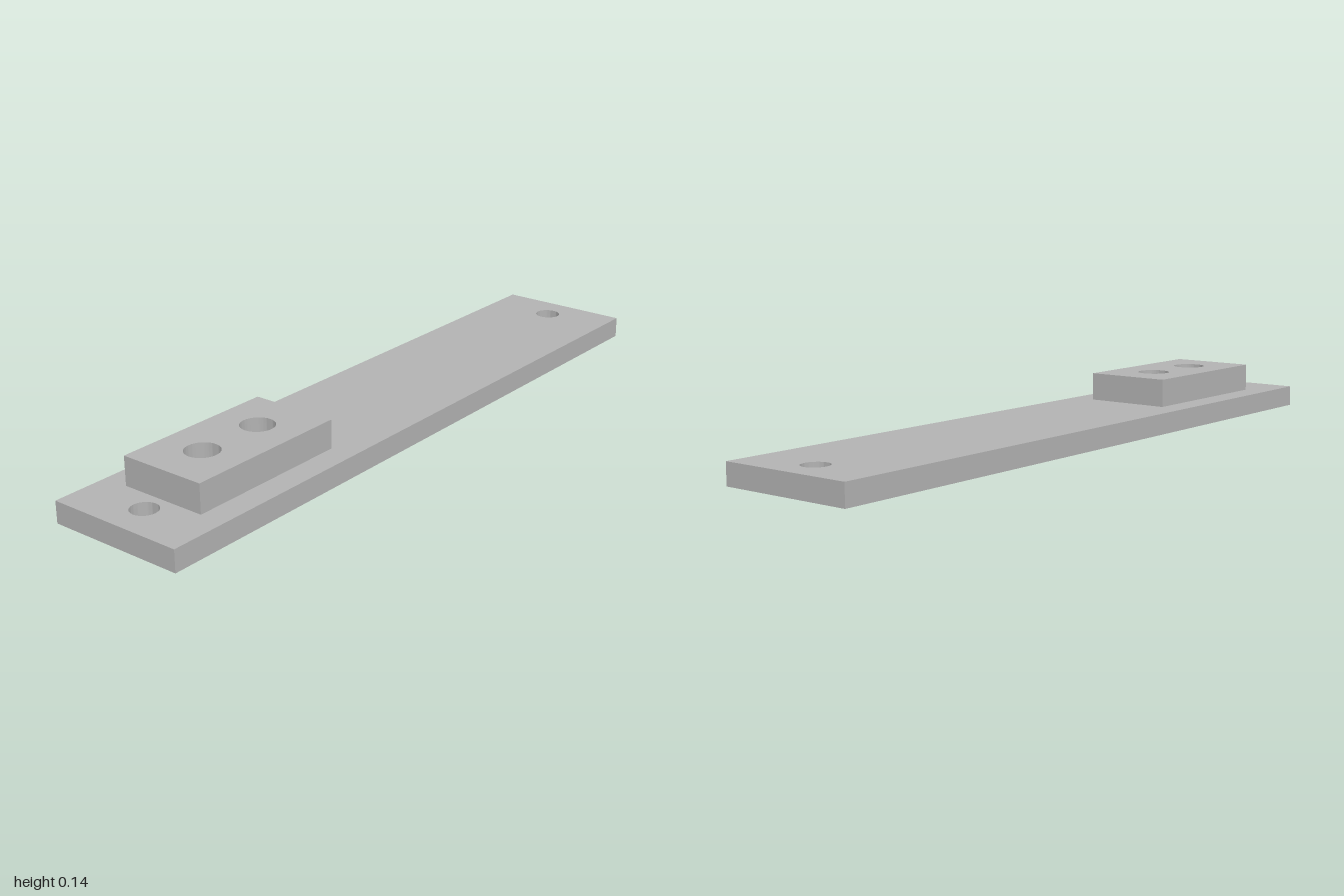
import * as THREE from 'three';
import { toCreasedNormals } from 'three/addons/utils/BufferGeometryUtils.js';

const END_HOLES = [-0.9, 0.9];
const BORES = [-0.7, -0.5];
const PLATE_TOP = 0.061;
const BORE_TOP = 0.076;
const BLOCK_TOP = 0.142;

const holes = (xs, r) => xs.map((x) => ({ x, r }));

// Flat rectangular slab from y0 to y1, pierced by round vertical holes
function slab(name, material, x0, x1, halfDepth, y0, y1, holeList) {
  const shape = new THREE.Shape([
    new THREE.Vector2(x0, -halfDepth),
    new THREE.Vector2(x1, -halfDepth),
    new THREE.Vector2(x1, halfDepth),
    new THREE.Vector2(x0, halfDepth),
  ]);
  for (const { x, r } of holeList) {
    shape.holes.push(new THREE.Path().absarc(x, 0, r, 0, Math.PI * 2, true));
  }
  const extruded = new THREE.ExtrudeGeometry(shape, {
    depth: y1 - y0, bevelEnabled: false, curveSegments: 48,
  });
  extruded.rotateX(-Math.PI / 2).translate(0, y0, 0);
  const mesh = new THREE.Mesh(toCreasedNormals(extruded, Math.PI / 6), material);
  mesh.name = name;
  return mesh;
}

export function createModel() {
  const grey = new THREE.MeshStandardMaterial({ color: 0xb2b2b2 });
  grey.name = 'grey';
  const model = new THREE.Group();
  model.name = 'mountingPlate';

  // Long base plate: screw holes at the ends, wide counterbores under the block
  model.add(slab('basePlate', grey, -1, 1, 0.2, 0, PLATE_TOP,
    [...holes(END_HOLES, 0.037), ...holes(BORES, 0.084)]));

  // Raised block: the counterbores end just inside it, narrower holes go through
  const block = new THREE.Group();
  block.name = 'raisedBlock';
  block.add(slab('blockLower', grey, -0.84, -0.36, 0.127, PLATE_TOP, BORE_TOP, holes(BORES, 0.084)));
  block.add(slab('blockUpper', grey, -0.84, -0.36, 0.127, BORE_TOP, BLOCK_TOP, holes(BORES, 0.047)));
  model.add(block);

  return model;
}
